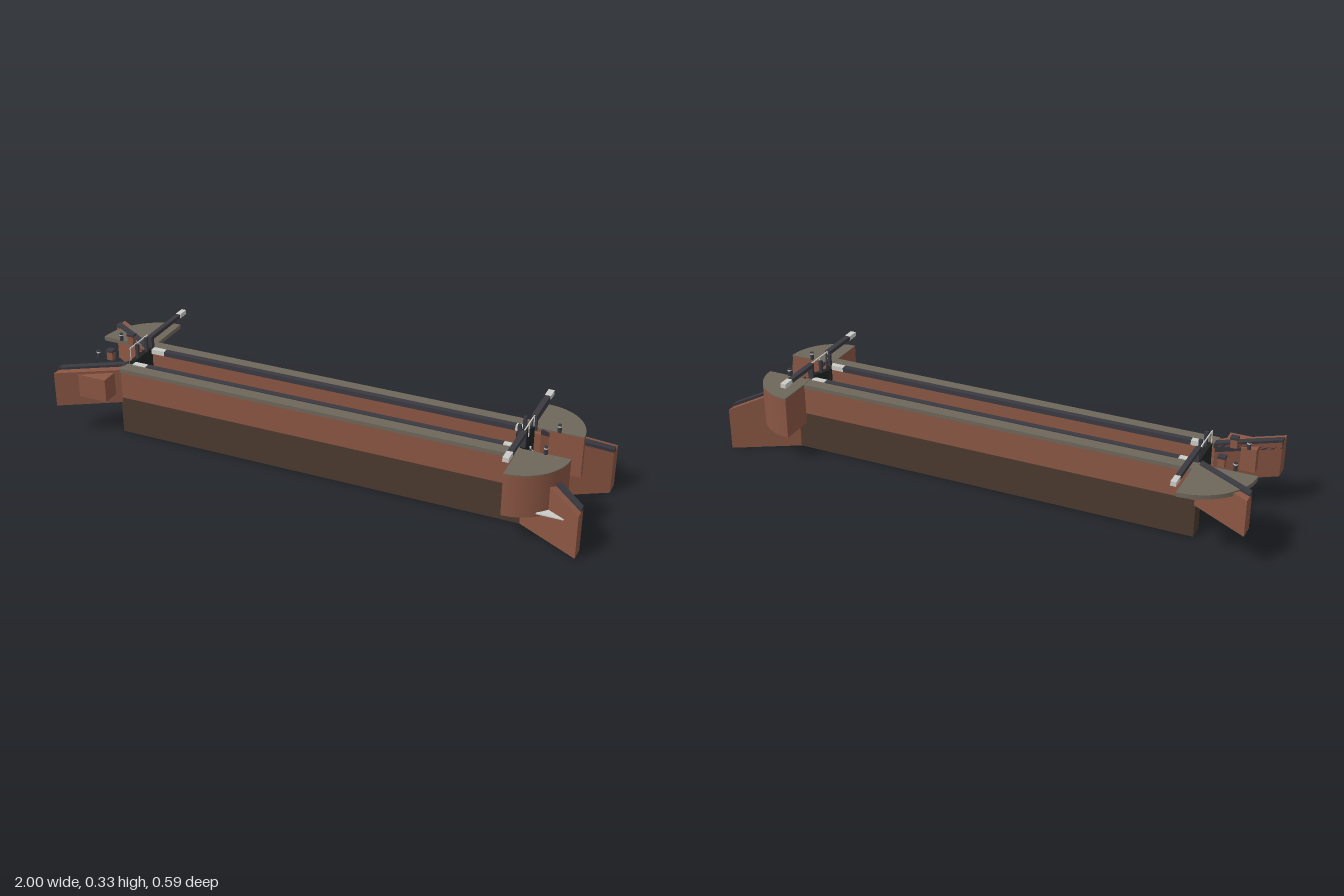
import * as THREE from 'three';

const mat = (name, color) => {
  const m = new THREE.MeshStandardMaterial({ color });
  m.name = name;
  return m;
};

export function createModel() {
  const model = new THREE.Group();
  model.name = 'canalLock';
  const brick = mat('brick', 0x8a5643);
  const wetBrick = mat('wetBrick', 0x4c392e);
  const stone = mat('copingStone', 0x6e665b);
  const iron = mat('darkTimber', 0x3a3941);
  const black = mat('gateBlack', 0x222323);
  const pale = mat('palePaint', 0xcbcbc7);
  const MID = 0.035; // centre line of the chamber

  const add = (name, geo, m) => {
    const mesh = new THREE.Mesh(geo, m);
    mesh.name = name;
    model.add(mesh);
    return mesh;
  };
  // box given by its limits
  const box = (name, m, x0, x1, y0, y1, z0, z1) => {
    const mesh = add(name, new THREE.BoxGeometry(x1 - x0, y1 - y0, Math.abs(z1 - z0)), m);
    mesh.position.set((x0 + x1) / 2, (y0 + y1) / 2, (z0 + z1) / 2);
    return mesh;
  };
  const post = (name, m, r, x, y0, y1, z) => {
    const mesh = add(name, new THREE.CylinderGeometry(r, r, y1 - y0, 10), m);
    mesh.position.set(x, (y0 + y1) / 2, z);
  };
  // splayed slab; d = distances from the centre line [inner, outer] at both ends,
  // bottom and top = heights at both ends
  const splay = (name, m, sz, x, dStart, dEnd, bottom, top) => {
    const g = new THREE.BoxGeometry(1, 1, 1);
    const p = g.attributes.position;
    for (let i = 0; i < p.count; i++) {
      const t = p.getX(i) + 0.5, s = p.getZ(i) + 0.5;
      const range = p.getY(i) > 0 ? top : bottom;
      const lerp = THREE.MathUtils.lerp;
      p.setXYZ(i, lerp(x[0], x[1], t), lerp(range[0], range[1], t),
        MID + sz * lerp(lerp(dStart[0], dStart[1], s), lerp(dEnd[0], dEnd[1], s), t));
    }
    if ((x[1] - x[0]) * sz < 0) g.setIndex(Array.from(g.index.array).reverse());
    const flat = g.toNonIndexed();
    flat.computeVertexNormals();
    add(name, flat, m);
  };
  // quarter disc hanging down from height y
  const quarter = (name, m, r, start, x, y, z, h) => {
    const s = new THREE.Shape();
    s.moveTo(0, 0);
    s.absarc(0, 0, r, start, start + Math.PI / 2, false);
    s.lineTo(0, 0);
    const g = new THREE.ExtrudeGeometry(s, { depth: h, bevelEnabled: false, curveSegments: 18 });
    g.rotateX(Math.PI / 2);
    add(name, g, m).position.set(x, y, z);
  };

  for (const s of [1, -1]) {
    const z = d => MID + s * d;
    // chamber walls with coping and edge strip
    box('lowerWall', wetBrick, -0.795, 0.77, 0, 0.145, z(0.065), z(0.125));
    box('upperWall', brick, -0.795, 0.77, 0.145, 0.25, z(0.065), z(0.125));
    box('coping', stone, -0.795, 0.745, 0.25, 0.265, z(0.075), z(0.127));
    box('edgeStrip', iron, -0.71, 0.68, 0.25, 0.268, z(0.057), z(0.08));
    box('edgeEndStone', pale, -0.765, -0.71, 0.25, 0.268, z(0.057), z(0.08));
    box('edgeEndStone', pale, 0.68, 0.735, 0.25, 0.268, z(0.057), z(0.08));

    // wing walls at the lower end, sloping down
    splay('lowerWing', brick, s, [0.77, 1], [0.065, 0.125], [0.196, 0.253], [0, 0], [0.255, 0.163]);
    splay('lowerWingCap', iron, s, [0.77, 1], [0.065, 0.093], [0.196, 0.223], [0.25, 0.16], [0.266, 0.174]);
    // wing walls at the upper end, level
    splay('upperWing', brick, s, [-0.79, -1], [0.065, 0.125], [0.19, 0.25], [0.125, 0.125], [0.26, 0.26]);
    splay('upperWingCap', iron, s, [-0.79, -1], [0.065, 0.093], [0.19, 0.218], [0.235, 0.235], [0.269, 0.269]);

    // quarter-round landings by the lower gates
    const a = s > 0 ? 0 : -Math.PI / 2;
    quarter('landing', brick, 0.178, a, 0.74, 0.262, z(0.08), 0.157);
    quarter('landingTop', stone, 0.178, a, 0.74, 0.266, z(0.08), 0.004);

    // mitred lower gate leaf with its walkway
    splay('lowerGate', black, s, [0.715, 0.745], [0, 0], [0.062, 0.062], [0.012, 0.012], [0.28, 0.28]);
    splay('gateLeaf', black, s, [0.708, 0.74], [0, 0.001], [0.062, 0.063], [0.012, 0.012], [0.28, 0.28]);
    const leaf = box('gatePanel', black, -0.009, 0.009, 0.012, 0.28, -0.034, 0.034);
    leaf.position.set(0.726, 0.146, z(0.031));
    leaf.rotation.y = s * 0.47;

    // balance beam of the lower gate
    box('heelPost', iron, 0.735, 0.755, 0.265, 0.325, z(0.058), z(0.07));
    box('balanceBeam', iron, 0.735, 0.755, 0.31, 0.325, z(0.058), z(0.212));
    box('beamTip', pale, 0.734, 0.756, 0.309, 0.326, z(0.212), z(0.258));

    // paddle gear, rail posts and bollards
    box('paddleGear', iron, 0.715, 0.727, 0.28, 0.328, z(0.026), z(0.037));
    post('railPost', pale, 0.002, 0.745, 0.27, 0.324, z(0.058));
    post('bollard', iron, 0.007, 0.83, 0.265, 0.295, z(0.081));
    post('bollardBand', pale, 0.0075, 0.83, 0.286, 0.291, z(0.081));
    post('bollard', iron, 0.007, -0.91, 0.267, 0.297, z(0.081));
    post('bollardBand', pale, 0.0075, -0.91, 0.288, 0.293, z(0.081));
    box('paddleStand', brick, -0.872, -0.848, 0.268, 0.3, z(0.063), z(0.085));
    box('paddleStandCap', iron, -0.874, -0.846, 0.3, 0.308, z(0.061), z(0.087));
    box('upperPaddleGear', iron, -0.776, -0.764, 0.27, 0.328, z(0.026), z(0.037));
  }

  // lower handrail
  box('handrail', pale, 0.743, 0.747, 0.321, 0.325, -0.025, 0.095);
  post('railPost', pale, 0.002, 0.745, 0.27, 0.324, MID);

  // leaking water jets and foam
  box('foam', pale, 0.745, 0.81, 0.119, 0.123, -0.026, 0.096);
  [[0.076, 0.205], [0.047, 0.187], [0.015, 0.222], [-0.011, 0.194]].forEach(([z, y]) =>
    box('waterJet', pale, 0.746, 0.752, 0.12, y, z - 0.0025, z + 0.0025));
  box('sideFoam', pale, 0.85, 0.945, 0.118, 0.122, 0.195, 0.26);
  box('sideSluice', iron, 0.888, 0.895, 0.12, 0.157, 0.178, 0.186);

  // upper gate on its sill
  box('upperSill', brick, -0.765, -0.732, 0, 0.14, -0.03, 0.1);
  box('upperGate', black, -0.785, -0.765, 0.012, 0.272, -0.03, 0.1);
  box('upperHeelPost', iron, -0.782, -0.764, 0.265, 0.318, -0.045, -0.027);
  box('upperBalanceBeam', iron, -0.782, -0.764, 0.303, 0.318, -0.247, -0.027);
  box('upperBeamTip', pale, -0.783, -0.763, 0.302, 0.319, -0.293, -0.247);
  box('upperHandrail', pale, -0.785, -0.781, 0.319, 0.323, -0.03, 0.097);
  post('upperRailPost', pale, 0.002, -0.783, 0.27, 0.322, 0.095);

  // upper landing slab and the small pier opposite
  quarter('upperLanding', stone, 0.215, Math.PI, -0.775, 0.265, -0.05, 0.016);
  box('pier', brick, -0.93, -0.81, 0.16, 0.25, 0.15, 0.24);

  return model;
}
